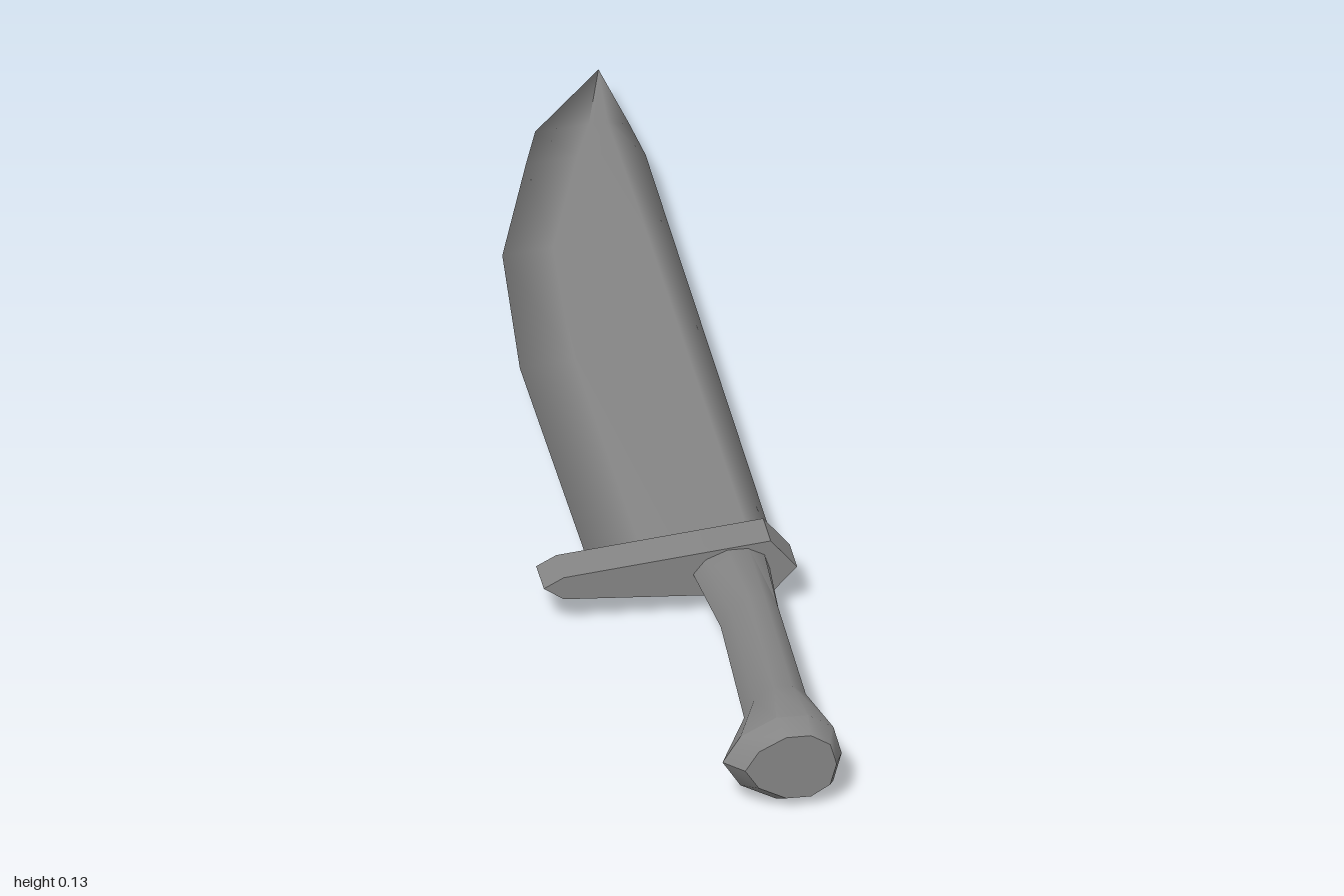
import * as THREE from 'three';
import { toCreasedNormals } from 'three/addons/utils/BufferGeometryUtils.js';

const MID_Y = 0.065;
const CREASE = 0.8;

// Skin a list of rings (counter-clockwise seen from +z, ordered toward +z);
// the diagonals of the lower half mirror those of the upper half
function loft(rings, capped) {
  const n = rings[0].length, index = [];
  for (let i = 0; i < rings.length - 1; i++) {
    for (let j = 0; j < n; j++) {
      const a = i * n + j, b = i * n + (j + 1) % n;
      if (j < n / 2) index.push(a, b, a + n, b, b + n, a + n);
      else index.push(a, b, b + n, a, b + n, a + n);
    }
  }
  if (capped) {
    const last = (rings.length - 1) * n;
    for (let j = 1; j < n - 1; j++) {
      index.push(0, j + 1, j, last, last + j, last + j + 1);
    }
  }
  const geometry = new THREE.BufferGeometry();
  geometry.setAttribute('position', new THREE.Float32BufferAttribute(rings.flat(2), 3));
  geometry.setIndex(index);
  geometry.computeVertexNormals();
  return geometry;
}

function addPart(group, name, geometry) {
  const mesh = new THREE.Mesh(geometry, new THREE.MeshStandardMaterial({ color: 0x858585 }));
  mesh.name = name;
  group.add(mesh);
}

// Ten-sided grip section, pointed toward -x: [fraction of width, fraction of half height]
const GRIP = [
  [1, 0], [0.93, 0.66], [0.72, 1], [0.45, 1], [0.15, 0.6],
  [0, 0], [0.15, -0.6], [0.45, -1], [0.72, -1], [0.93, -0.66],
];

export function createModel() {
  const model = new THREE.Group();
  model.name = 'knife';

  // Handle with flared pommel: z, min x, max x, half height
  const handle = [
    [0.42, 0.03, 0.14, 0.034],
    [0.59, 0.045, 0.13, 0.044],
    [0.85, 0.035, 0.128, 0.045],
    [0.97, -0.015, 0.152, 0.064],
    [1.0, 0.012, 0.14, 0.048],
  ].map(([z, x0, x1, h]) => GRIP.map(([u, v]) => [x0 + (x1 - x0) * u, MID_Y + h * v, z]));
  addPart(model, 'handle', toCreasedNormals(loft(handle, true), CREASE));

  // Tapered cross guard
  const outline = [
    [-0.178, 0.062], [-0.15, 0.043], [0.14, 0.026],
    [0.177, 0.065], [0.14, 0.109], [-0.15, 0.077],
  ].map(([x, y]) => new THREE.Vector2(x, y));
  const guard = new THREE.ExtrudeGeometry(new THREE.Shape(outline), { depth: 0.065, bevelEnabled: false });
  guard.translate(0, 0, 0.373);
  addPart(model, 'guard', toCreasedNormals(guard, CREASE));

  // Blade, smooth across its edges: z, cutting edge x, inner left x, inner right x, spine x, half thickness
  const blade = [
    [-1.0, 0.135, 0.135, 0.135, 0.135, 0],
    [-0.84, 0.02, 0.095, 0.122, 0.152, 0.005],
    [-0.75, -0.008, 0.065, 0.122, 0.16, 0.007],
    [-0.5, -0.082, -0.01, 0.124, 0.159, 0.007],
    [-0.18, -0.11, -0.035, 0.124, 0.158, 0.007],
    [0.4, -0.106, -0.03, 0.124, 0.156, 0.007],
  ].map(([z, edge, left, right, spine, t]) => [
    [spine, MID_Y, z], [right, MID_Y + t, z], [left, MID_Y + t, z],
    [edge, MID_Y, z], [left, MID_Y - t, z], [right, MID_Y - t, z],
  ]);
  addPart(model, 'blade', loft(blade, false));

  return model;
}
